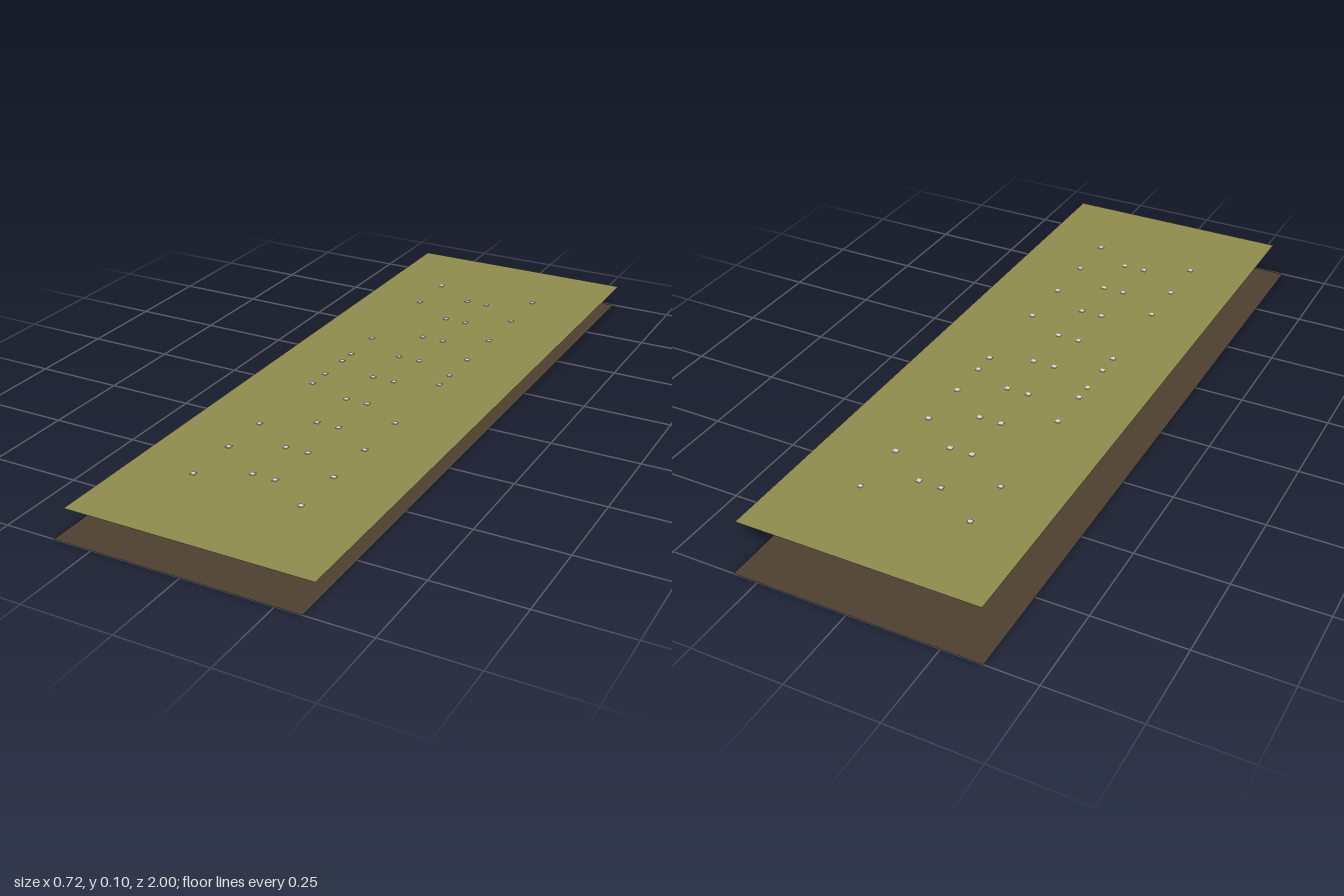
import * as THREE from 'three';

const H = 0.095;          // wall height
const T = 0.004;          // wall thickness
const X0 = -0.23, X1 = 0.243, Z0 = -0.755, Z1 = 0.83;
const MID = (X0 + X1) / 2;
const ROOMS = 10;
const STEP = (Z1 - Z0) / ROOMS;
const DOOR_W = 0.047, DOOR_H = 0.075;

const material = (name, color) => {
  const m = new THREE.MeshStandardMaterial({ color });
  m.name = name;
  return m;
};

// Upright wall along +x from 0 to length, with door notches centred at the given distances
function wallGeometry(length, doors = []) {
  const s = new THREE.Shape();
  s.moveTo(0, 0);
  for (const d of doors) {
    s.lineTo(d - DOOR_W / 2, 0);
    s.lineTo(d - DOOR_W / 2, DOOR_H);
    s.lineTo(d + DOOR_W / 2, DOOR_H);
    s.lineTo(d + DOOR_W / 2, 0);
  }
  s.lineTo(length, 0);
  s.lineTo(length, H - 0.001);
  s.lineTo(0, H - 0.001);
  const g = new THREE.ExtrudeGeometry(s, { depth: T, bevelEnabled: false });
  return g.translate(0, 0.0005, -T / 2);
}

export function createModel() {
  const model = new THREE.Group();
  model.name = 'corridorBuilding';
  const olive = material('olive plaster', 0x8f8d4d);
  const brown = material('brown floor', 0x4f412f);
  const white = material('lamp white', 0xd8d8d8);
  olive.side = brown.side = THREE.DoubleSide;

  const add = (name, geometry, mat, x, y, z) => {
    const mesh = new THREE.Mesh(geometry, mat);
    mesh.name = name;
    mesh.position.set(x, y, z);
    model.add(mesh);
    return mesh;
  };

  // Flat sheet between two corners
  const sheet = (name, mat, xa, xb, za, zb, y) =>
    add(name, new THREE.PlaneGeometry(xb - xa, zb - za).rotateX(-Math.PI / 2), mat,
      (xa + xb) / 2, y, (za + zb) / 2);
  sheet('floor', brown, -0.36, 0.32, -1, 1, 0);
  sheet('ceiling', olive, -0.32, 0.355, -0.93, 1, H);

  // End walls, each with the corridor doorway
  const endWall = wallGeometry(X1 - X0, [MID - X0]);
  add('frontWall', endWall, olive, X0, 0, Z1 - T / 2);
  add('backWall', endWall, olive, X0, 0, Z0 + T / 2);

  // Long walls: solid outside, one door per room along the corridor
  const roomDoors = Array.from({ length: ROOMS }, (_, i) => (i + 0.5) * STEP);
  const outer = wallGeometry(Z1 - Z0).rotateY(-Math.PI / 2);
  const inner = wallGeometry(Z1 - Z0, roomDoors).rotateY(-Math.PI / 2);
  const half = (X1 - X0) / 2, corridorHalf = 0.079;
  const divider = wallGeometry(half - corridorHalf);
  for (const side of [-1, 1]) {
    const label = side > 0 ? 'left' : 'right';
    add(label + 'OuterWall', outer, olive, MID + side * (half - T / 2), 0, Z0);
    add(label + 'CorridorWall', inner, olive, MID + side * corridorHalf, 0, Z0);
    // Room dividers
    for (let i = 1; i < ROOMS; i++) {
      add(label + 'RoomDivider', divider, olive,
        side > 0 ? MID + corridorHalf : X0, 0, Z0 + i * STEP);
    }
  }

  // Small ceiling lamps, their tops just showing through the ceiling
  const lampGeometry = new THREE.BoxGeometry(0.013, 0.012, 0.013);
  const lampRow = (name, x, zs) =>
    zs.forEach((z) => add(name, lampGeometry, white, x, H - 0.004, z));
  const corridorZ = Array.from({ length: 9 }, (_, i) => -0.592 + i * 0.1562);
  lampRow('corridorLamp', -0.018, corridorZ);
  lampRow('corridorLamp', 0.046, corridorZ);
  lampRow('rightRoomLamp', -0.147,
    [-0.675, -0.52, -0.203, -0.075, -0.022, 0.076, 0.145, 0.42, 0.565, 0.722]);
  lampRow('leftRoomLamp', 0.164,
    [-0.675, -0.51, -0.345, -0.192, -0.075, -0.008, 0.255, 0.422, 0.58, 0.735]);

  return model;
}
